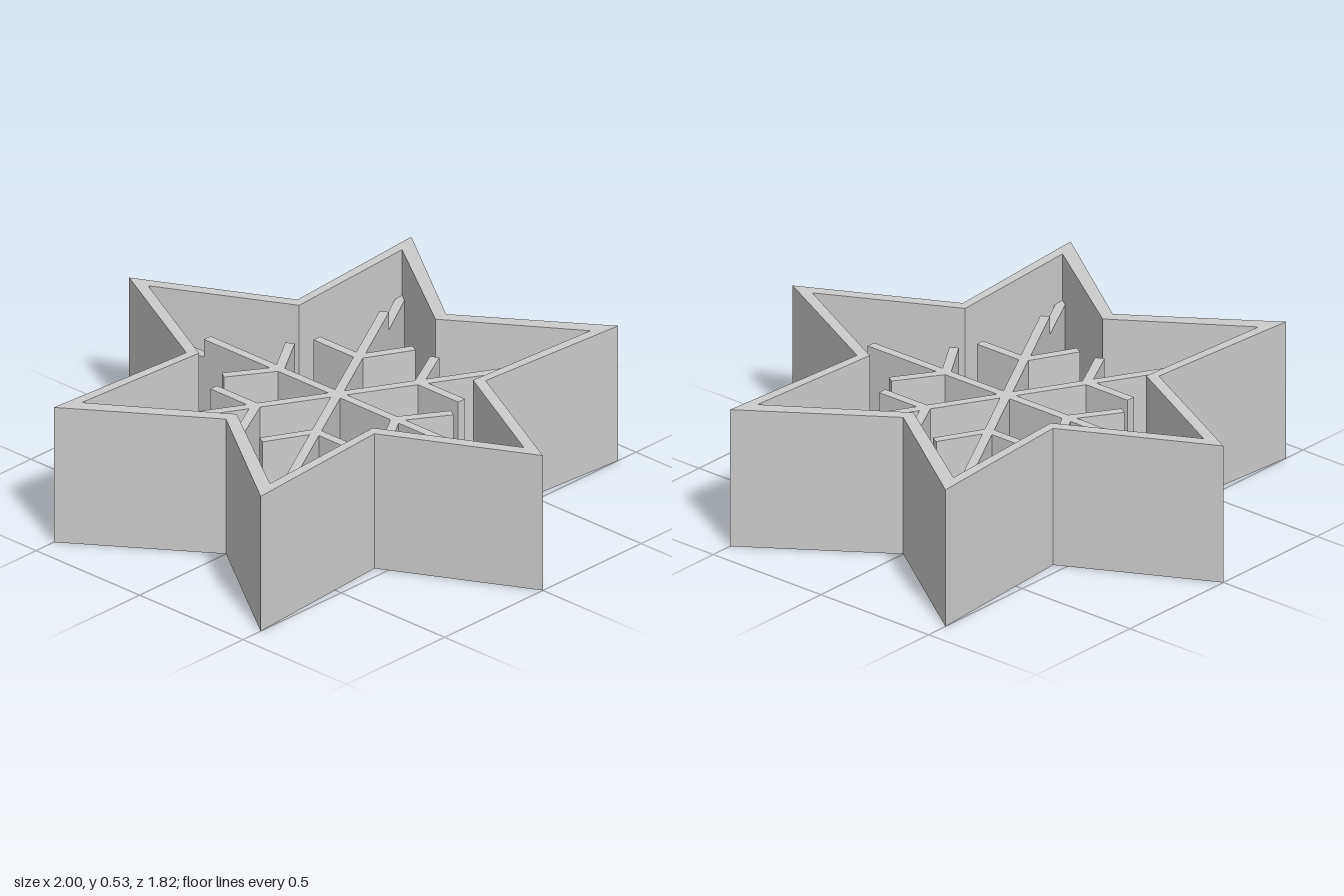
import * as THREE from 'three';

const RIM_HEIGHT = 0.53;
const STAMP_HEIGHT = 0.42;
const LINK_HEIGHT = 0.35;
const BAR_WIDTH = 0.034;
const CENTRE_Z = -0.008;

// Mirrors one quadrant [x, z] of the star into a closed clockwise ring of points
function mirrorRing([notch, tip, side, point]) {
  const ring = [notch, tip, side, point];
  ring.push([side[0], -side[1]], [tip[0], -tip[1]], [notch[0], -notch[1]]);
  ring.push([-tip[0], -tip[1]], [-side[0], -side[1]], [-point[0], 0]);
  ring.push([-side[0], side[1]], [-tip[0], tip[1]]);
  return ring.map(([x, z]) => new THREE.Vector2(x, z));
}

export function createModel() {
  const model = new THREE.Group();
  model.name = 'snowflakeCutter';
  const grey = new THREE.MeshStandardMaterial({ color: 0xcccccc });
  grey.name = 'light grey';

  // Upright bar standing on the ground between two plan points [x, z]
  function bar(name, a, b, height, parent) {
    const dx = b[0] - a[0], dz = b[1] - a[1];
    const mesh = new THREE.Mesh(
      new THREE.BoxGeometry(Math.hypot(dx, dz), height, BAR_WIDTH), grey);
    mesh.position.set((a[0] + b[0]) / 2, height / 2, (a[1] + b[1]) / 2);
    mesh.rotation.y = -Math.atan2(dz, dx);
    mesh.name = name;
    parent.add(mesh);
  }

  // Star shaped outer wall; the hole runs the other way so its faces look inwards
  const star = new THREE.Shape(mirrorRing([[0, 0.56], [0.5, 0.91], [0.455, 0.283], [1, 0]]));
  const hole = mirrorRing([[0, 0.506], [0.455, 0.815], [0.42, 0.255], [0.908, 0]]);
  star.holes.push(new THREE.Path(hole.reverse()));
  const wallGeometry = new THREE.ExtrudeGeometry(star, { depth: RIM_HEIGHT, bevelEnabled: false });
  wallGeometry.rotateX(-Math.PI / 2);
  const wall = new THREE.Mesh(wallGeometry, grey);
  wall.name = 'outerWall';
  model.add(wall);

  // Snowflake stamp: each arm has a tall spoke, a lower link to the wall and two twigs
  const stamp = new THREE.Group();
  stamp.name = 'snowflake';
  model.add(stamp);
  const centre = [0, CENTRE_Z];

  function arm(step, end, fork, twigs) {
    const group = new THREE.Group();
    group.name = 'snowflakeArm';
    bar('spoke', centre, step, STAMP_HEIGHT, group);
    bar('link', step, end, LINK_HEIGHT, group);
    twigs.forEach((tip) => bar('twig', fork, tip, STAMP_HEIGHT, group));
    stamp.add(group);
  }

  for (const sx of [1, -1]) {
    // Sideways arms
    arm([0.63 * sx, CENTRE_Z], [0.915 * sx, CENTRE_Z], [0.28 * sx, CENTRE_Z],
      [[0.392 * sx, CENTRE_Z - 0.171], [0.392 * sx, CENTRE_Z + 0.171]]);
    // Diagonal arms
    for (const sz of [1, -1]) {
      const z = (d) => CENTRE_Z + d * sz;
      arm([0.32 * sx, z(0.575)], [0.455 * sx, 0.815 * sz], [0.145 * sx, z(0.262)],
        [[0.35 * sx, z(0.262)], [0.05 * sx, z(0.442)]]);
    }
  }

  return model;
}
